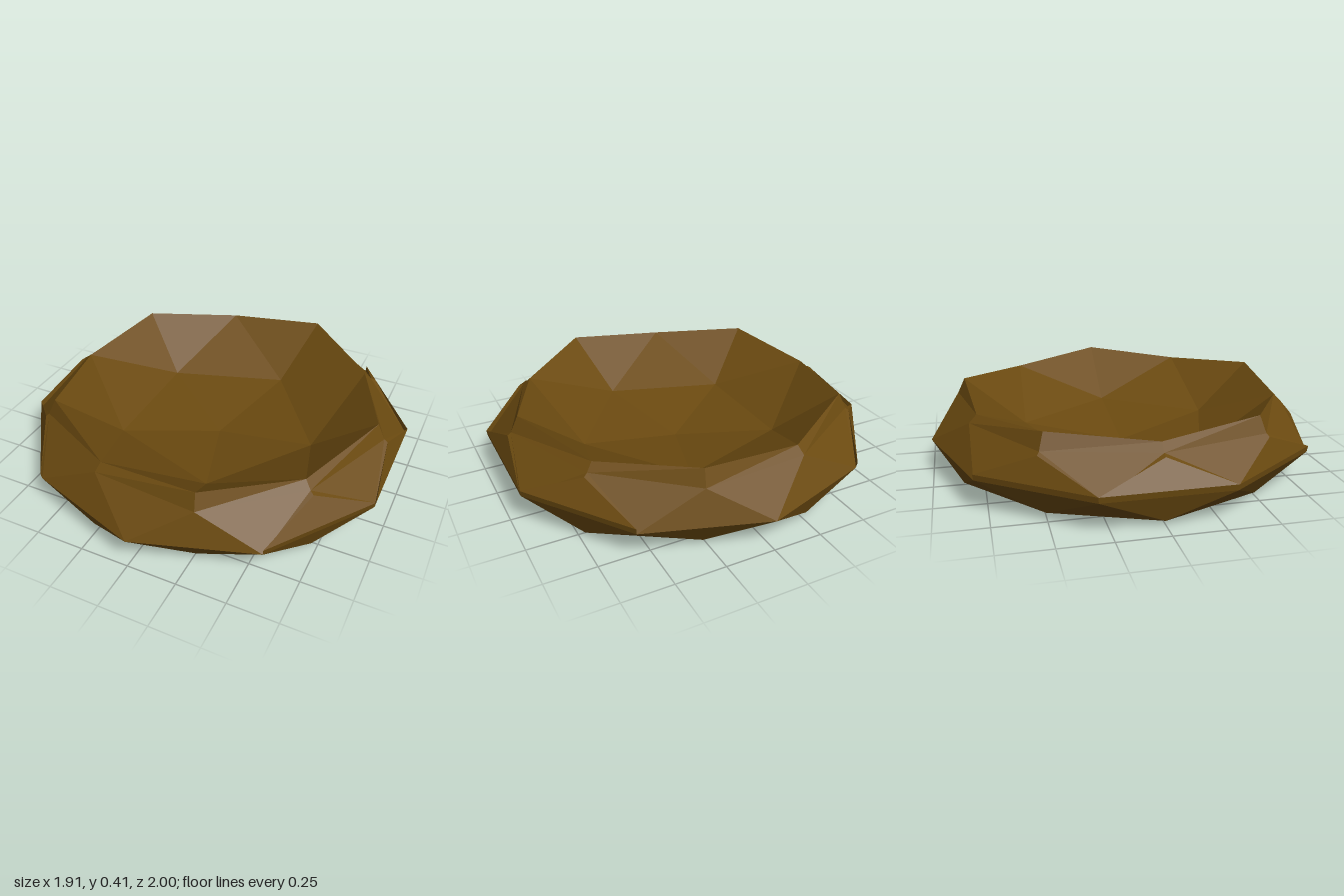
import * as THREE from 'three';

const material = new THREE.MeshStandardMaterial({ color: 0x6b4a10, flatShading: true });

// Point on a ring: k counts steps of 36 degrees
const point = (k, r, y) => {
  const a = (k * Math.PI) / 5;
  return [r * Math.cos(a), y, r * Math.sin(a)];
};

// Ten-point ring with its own radius and height at even and odd steps
const ring = (evenR, evenY, oddR, oddY, shift = 0) => (k) =>
  k % 2 ? point(k + shift, oddR, oddY) : point(k + shift, evenR, evenY);

// Flat shaded mesh from a list of triangles
function facetMesh(name, triangles) {
  const geometry = new THREE.BufferGeometry();
  geometry.setAttribute('position', new THREE.Float32BufferAttribute(triangles.flat(2), 3));
  geometry.computeVertexNormals();
  const mesh = new THREE.Mesh(geometry, material);
  mesh.name = name;
  return mesh;
}

// Ten-sided cap: five inner points under the steps of the given parity, and a centre
function cap(outer, parity, innerR, innerY, centreY, up) {
  const tris = [];
  for (let i = 0; i < 5; i++) {
    const k = 2 * i + parity;
    const m0 = point(k, innerR, innerY);
    const m1 = point(k + 2, innerR, innerY);
    const mid = outer(k + 1);
    tris.push([[0, centreY, 0], m1, m0], [m0, m1, mid], [m0, mid, outer(k)], [m1, outer(k + 2), mid]);
  }
  return up ? tris : tris.map(([a, b, c]) => [a, c, b]);
}

const foot = ring(0.85, 0.015, 0.894, 0.02);
const waist = ring(1, 0.16, 1, 0.16, 0.5);
const shoulder = ring(0.894, 0.325, 0.85, 0.322);
const rim = ring(0.855, 0.405, 0.81, 0.36);

export function createModel() {
  const group = new THREE.Group();
  group.name = 'facetedBowl';

  // Outer wall, from the foot over the waist and shoulder to the wavy rim
  const wall = [];
  for (let k = 0; k < 10; k++) {
    const n = k + 1;
    wall.push(
      [foot(k), waist(k), foot(n)],
      [waist(k), waist(n), foot(n)],
      [waist(k), shoulder(n), waist(n)],
      [shoulder(k), shoulder(n), waist(k)],
      [shoulder(k), rim(k), shoulder(n)],
      [rim(k), rim(n), shoulder(n)]
    );
  }
  group.add(facetMesh('outerWall', wall));

  // Hollow and underside
  group.add(facetMesh('hollow', cap(rim, 0, 0.526, 0.16, 0.08, true)));
  group.add(facetMesh('underside', cap(foot, 1, 0.526, 0, 0, false)));

  // Slightly raised facets on both flanks
  for (const k of [0, 1, 9, 4, 5, 6]) {
    const base = [point(k - 0.5, 1, 0.16), shoulder(k), point(k + 0.5, 1, 0.16)];
    const r = k % 2 ? 0.875 : 0.912;
    const face = [point(k - 0.5, 1.005, 0.19), point(k, r, 0.312), point(k + 0.5, 1.005, 0.19)];
    const tris = [face];
    for (let i = 0; i < 3; i++) {
      const j = (i + 1) % 3;
      tris.push([face[i], base[i], base[j]], [face[i], base[j], face[j]]);
    }
    group.add(facetMesh('raisedFacet', tris));
  }
  return group;
}
